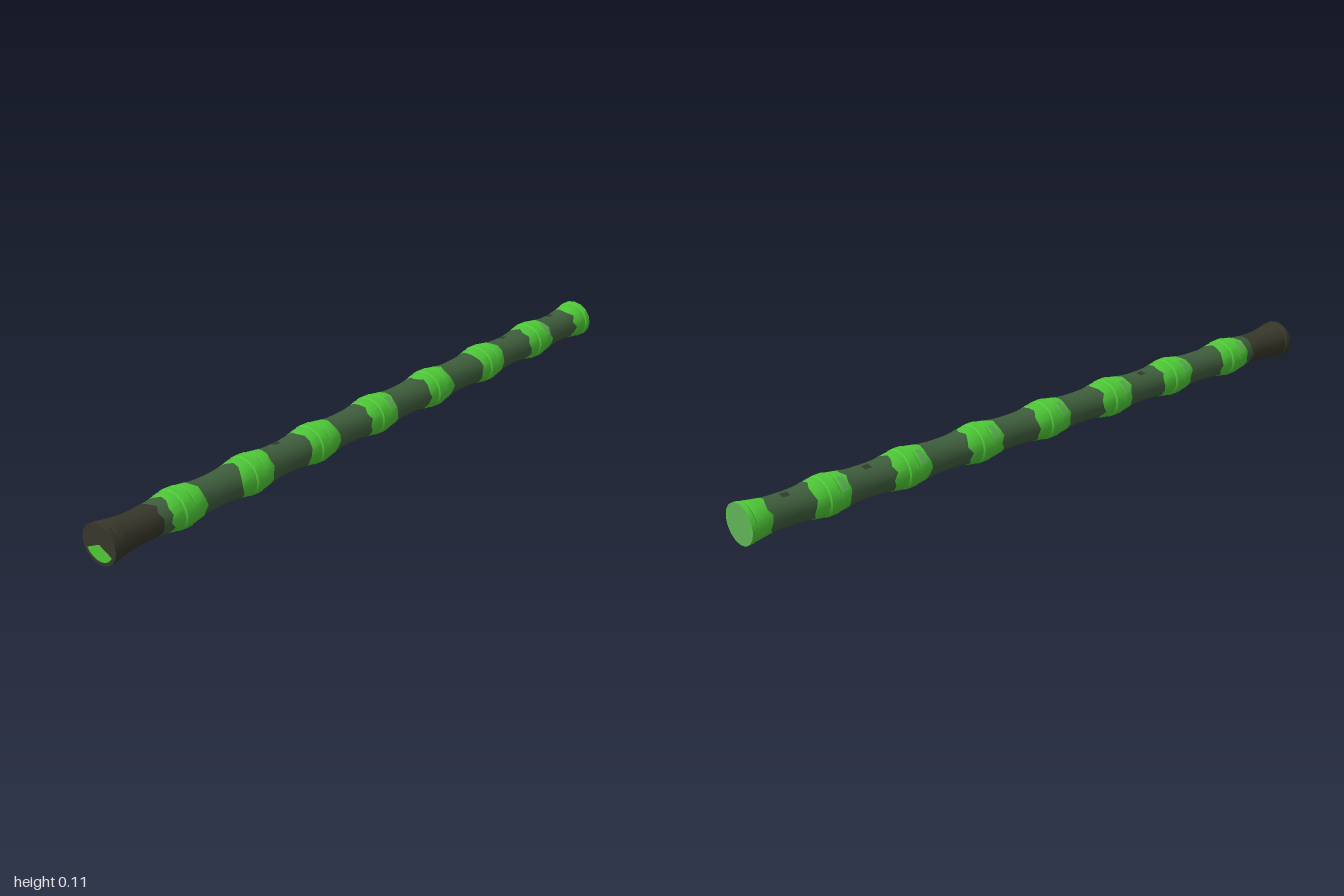
import * as THREE from 'three';
import { toCreasedNormals } from 'three/addons/utils/BufferGeometryUtils.js';

const SIDES = 16, CY = 0.058, FLAT = 0.925; // slightly oval section
const mat = (name, color) => new THREE.MeshStandardMaterial({ name, color });

// radius by distance from the nearest joint: collar, groove, swelling, slim middle
const PROFILE = [[0, 0.061], [0.014, 0.0602], [0.018, 0.0565], [0.023, 0.0575], [0.045, 0.054], [0.07, 0.05], [0.095, 0.048], [0.125, 0.0475]];
const STEPS = PROFILE.map(p => p[0]);

function radius(x) {
  const d = Math.abs(x - Math.round(x * 4) / 4);
  for (let i = 1; i < PROFILE.length; i++) {
    const [d0, r0] = PROFILE[i - 1], [d1, r1] = PROFILE[i];
    if (d <= d1) return r0 + (r1 - r0) * (d - d0) / (d1 - d0);
  }
  return PROFILE[PROFILE.length - 1][1];
}

// ragged paint edge: a repeatable offset for each side of the stalk
function ragged(x, j) {
  const h = Math.sin(j * 12.99 + x * 78.23) * 43758.55;
  return x + (h - Math.floor(h) - 0.5) * 0.018;
}

// profile stations strictly between two positions, clear of the ragged ends
function stations(x0, x1, gap) {
  const xs = new Set();
  for (let n = -4; n <= 4; n++) {
    for (const d of STEPS) for (const s of [-1, 1]) {
      const x = Math.round((n / 4 + s * d) * 1e4) / 1e4;
      if (x > x0 + gap && x < x1 - gap) xs.add(x);
    }
  }
  return [...xs].sort((a, b) => a - b);
}

// skin around the stalk from x0 to x1, over sides j0 to j0 + count
function skin(x0, x1, { j0 = 0, count = SIDES, lift = 0, ends = [true, true] } = {}) {
  const rows = [x0, ...stations(x0, x1, lift ? 0.001 : 0.01), x1];
  const closed = count === SIDES, cols = closed ? SIDES : count + 1;
  const pos = [], index = [];
  rows.forEach((row, i) => {
    for (let c = 0; c < cols; c++) {
      const j = (j0 + c) % SIDES, a = j / SIDES * Math.PI * 2;
      const rough = (i === 0 && ends[0]) || (i === rows.length - 1 && ends[1]);
      const x = rough ? ragged(row, j) : row;
      const r = radius(x) + lift;
      pos.push(x, CY + r * FLAT * Math.cos(a), r * Math.sin(a));
    }
  });
  for (let i = 0; i < rows.length - 1; i++) {
    for (let c = 0; c < count; c++) {
      const n = (c + 1) % cols;
      const a = i * cols + c, b = i * cols + n, d = a + cols, e = b + cols;
      index.push(a, b, d, b, e, d);
    }
  }
  const g = new THREE.BufferGeometry();
  g.setAttribute('position', new THREE.Float32BufferAttribute(pos, 3));
  g.setIndex(index);
  return toCreasedNormals(g, 0.5);
}

export function createModel() {
  const group = new THREE.Group();
  const bright = mat('bright green', 0x4fc938);
  const stalk = mat('stalk green', 0x3f5e3d);
  const dark = mat('dark brown', 0x37372b);
  const cut = mat('cut green', 0x60b358);
  const spot = mat('spot green', 0x2e3c2d);
  const add = (name, geometry, material) => {
    const m = new THREE.Mesh(geometry, material);
    m.name = name;
    group.add(m);
    return m;
  };
  // flat oval piece across an end, facing along +x or -x
  const addEnd = (name, geometry, x, side, material) => {
    geometry.scale(1, FLAT, 1).rotateY(side * Math.PI / 2);
    add(name, geometry, material).position.set(x, CY, 0);
  };
  // thin painted patch on the skin
  const plate = (name, x, width, j0, count, material) =>
    add(name, skin(x, x + width, { j0, count, lift: 0.0008, ends: [false, false] }), material);

  // dark butt end
  add('buttEnd', skin(-1, -0.835, { ends: [false, true] }), dark);

  // bright joints with darker stalk between them, each with a dull patch behind
  let from = -0.835;
  for (let n = -3; n <= 3; n++) {
    const x = n / 4;
    add('stalkSection', skin(from, x - 0.055), stalk);
    add('joint', skin(x - 0.055, x + 0.055), bright);
    plate('dullPatch', x - 0.043, 0.018, 13, 2, cut);
    from = x + 0.055;
  }
  add('stalkSection', skin(from, 0.935), stalk);
  add('tipJoint', skin(0.935, 1, { ends: [true, false] }), bright);

  // end caps, with brighter edges on the tip and a green patch low on the butt
  const R = radius(1);
  addEnd('tipCap', new THREE.CircleGeometry(R, SIDES), 1, 1, cut);
  addEnd('buttCap', new THREE.CircleGeometry(R, SIDES), -1, -1, dark);
  for (const a of [-0.3, Math.PI - 0.3]) {
    addEnd('tipEdge', new THREE.RingGeometry(0.05, 0.058, 4, 1, a, 0.6), 1.0005, 1, bright);
  }
  addEnd('buttPatch', new THREE.CircleGeometry(0.05, SIDES, Math.PI * 1.15, Math.PI * 0.7), -1.0005, -1, bright);

  // dull patches on the front of some joints
  for (const x of [0.775, 0.025]) plate('frontPatch', x, 0.022, 1, 2, cut);
  // dark flecks along the back of the top
  for (const x of [-0.39, 0.61, 0.86]) plate('fleck', x, 0.022, 15, 1, spot);
  return group;
}
